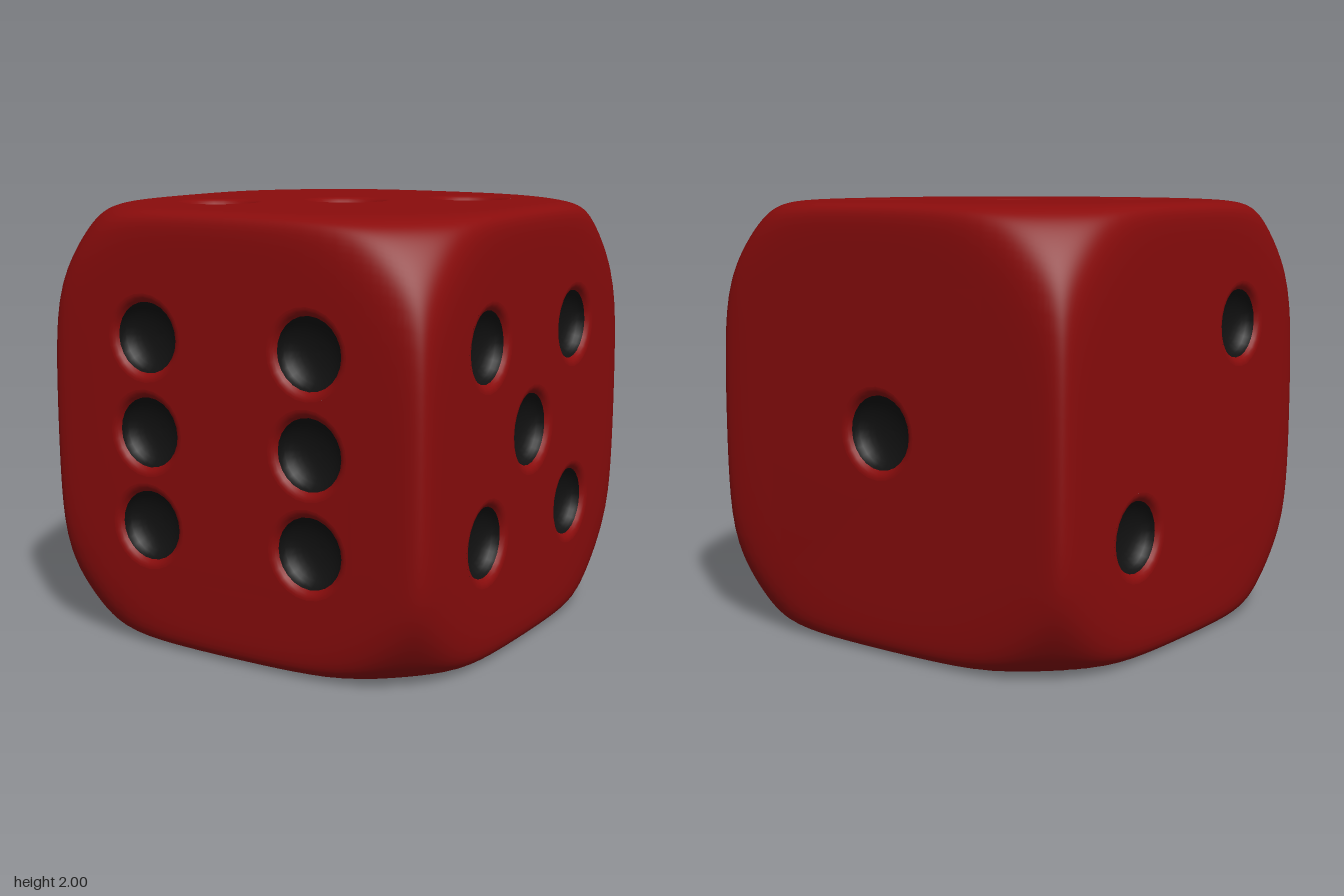
import * as THREE from 'three';
import { mergeGeometries } from 'three/addons/utils/BufferGeometryUtils.js';

const POWER = 30;      // how tight the edges are
const ROUND = 1.5;     // radius of the sphere that softens the corners
const FLAT = 0.66;     // half size of the flat middle of a face
const MID = 16, RIM = 12, SIDES = 24;
const D = 0.43;        // pip spacing

const red = new THREE.MeshStandardMaterial({ color: 0x8a0c0c });
const black = new THREE.MeshStandardMaterial({ color: 0x111111 });

// Grid lines across a face, denser towards the edges
const rim = Array.from({ length: RIM }, (_, i) =>
  FLAT + (1 - FLAT) * Math.sin(((i + 1) / RIM) * Math.PI / 2));
const middle = Array.from({ length: MID + 1 }, (_, i) => FLAT * (2 * i / MID - 1));
const lines = [...rim.map(v => -v).reverse(), ...middle, ...rim];

// Push points of a cube side onto the rounded cube and set exact smooth normals
function roundOff(geometry) {
  const pos = geometry.attributes.position, nor = geometry.attributes.normal;
  const p = new THREE.Vector3(), n = new THREE.Vector3();
  for (let i = 0; i < pos.count; i++) {
    p.fromBufferAttribute(pos, i).setZ(1).normalize();
    const sum = p.toArray().reduce((s, v) => s + Math.abs(v) ** POWER, ROUND ** -POWER);
    p.multiplyScalar(sum ** (-1 / POWER));
    const pull = p.length() ** (POWER - 2) / ROUND ** POWER;
    n.set(...p.toArray().map(v => Math.sign(v) * Math.abs(v) ** (POWER - 1) + v * pull)).normalize();
    pos.setXYZ(i, p.x, p.y, p.z);
    nor.setXYZ(i, n.x, n.y, n.z);
  }
  return geometry;
}

// Curved border of a face: a grid without its flat middle
function borderGeometry() {
  const n = lines.length - 1;
  const g = new THREE.PlaneGeometry(2, 2, n, n);
  const pos = g.attributes.position, index = g.index.array, keep = [];
  for (let i = 0; i < pos.count; i++) {
    pos.setXY(i, lines[i % (n + 1)], lines[n - Math.floor(i / (n + 1))]);
  }
  const inside = i => Math.max(Math.abs(pos.getX(i)), Math.abs(pos.getY(i))) < FLAT + 1e-4;
  for (let i = 0; i < index.length; i += 3) {
    const tri = [index[i], index[i + 1], index[i + 2]];
    if (!tri.every(inside)) keep.push(...tri);
  }
  g.setIndex(keep);
  return g;
}

// Flat middle of a face with a round hole for each pip
function panelGeometry(pips) {
  const outline = [];
  for (let side = 0; side < 4; side++) {
    for (const t of middle.slice(0, MID)) {
      outline.push(new THREE.Vector2(t, -FLAT).rotateAround(new THREE.Vector2(), side * Math.PI / 2));
    }
  }
  const shape = new THREE.Shape(outline);
  for (const [x, y, s] of pips) {
    shape.holes.push(new THREE.Path(Array.from({ length: SIDES }, (_, i) => {
      const a = -i / SIDES * Math.PI * 2;
      return new THREE.Vector2(x + 0.2 * s * Math.cos(a), y + 0.2 * s * Math.sin(a));
    })));
  }
  return new THREE.ShapeGeometry(shape);
}

// Softly rounded lip sloping into a pip, and the hollow bowl itself
const turn = points => new THREE.LatheGeometry(
  points.map(([x, y]) => new THREE.Vector2(x, y)), SIDES).rotateX(Math.PI / 2);
const lipGeometry = turn([[0.2, 0], [0.19, -0.001], [0.18, -0.005], [0.17, -0.012], [0.16, -0.025]]);
const bowlGeometry = turn(Array.from({ length: 9 }, (_, i) => {
  const a = i / 8 * Math.PI / 2;
  return [i === 8 ? 0 : 0.16 * Math.cos(a), -0.025 - 0.09 * Math.sin(a)];
}));

function add(parent, name, geometry, material) {
  const mesh = new THREE.Mesh(geometry, material);
  mesh.name = name;
  parent.add(mesh);
  return mesh;
}

function makeFace(name, pips) {
  const face = new THREE.Group();
  face.name = name;
  add(face, 'faceShell', roundOff(mergeGeometries([borderGeometry(), panelGeometry(pips)])), red);
  for (const [x, y, s] of pips) {
    const pip = new THREE.Group();
    pip.name = 'pip';
    pip.position.set(x, y, 1);
    pip.scale.set(s, s, 1);
    add(pip, 'pipLip', lipGeometry, red);
    add(pip, 'pipBowl', bowlGeometry, black);
    face.add(pip);
  }
  return face;
}

export function createModel() {
  const model = new THREE.Group();
  model.name = 'die';

  // Pip layouts as [x, y, scale] on each face
  const centre = [[0, 0, 1.04]];
  const two = [[D, D, 1], [-D, -D, 1]];
  const four = [...two, [-D, D, 1], [D, -D, 1]];
  const six = [...four, [-D, 0, 1], [D, 0, 1]];
  const q = Math.PI / 2;
  const faces = [
    ['frontFace', six, 0, 0],
    ['backFace', centre, 0, 2 * q],
    ['leftFace', [...four, ...centre], 0, q],
    ['rightFace', two, 0, -q],
    ['topFace', [...two, ...centre], -q, 0],
    ['bottomFace', four, q, 0],
  ];
  for (const [name, pips, rx, ry] of faces) {
    const face = makeFace(name, pips);
    face.rotation.set(rx, ry, 0);
    face.position.y = 1;
    model.add(face);
  }
  return model;
}
